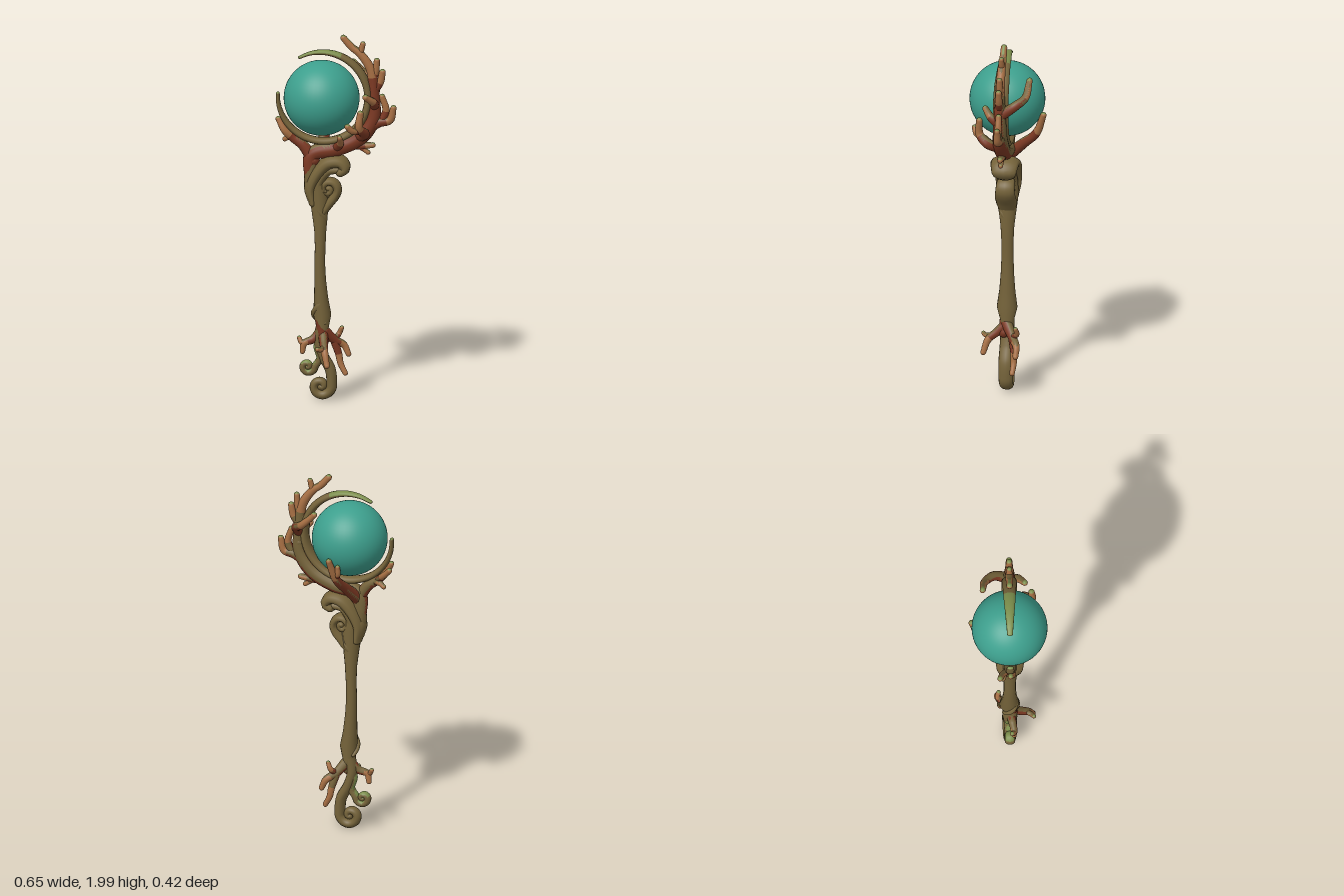
import * as THREE from 'three';

const paint = (name, color) => {
  const m = new THREE.MeshStandardMaterial({ color });
  m.name = name;
  return m;
};
const BARK = 0, CORAL = 1, TAN = 2, MOSS = 3;
const MID = 0.008; // depth of the wand's middle plane

export function createModel() {
  const model = new THREE.Group();
  model.name = 'branchWand';
  const palette = [paint('olive bark', 0x75633a), paint('red coral', 0x7d3923), paint('tan tips', 0xa87044), paint('mossy green', 0x7b8d4b)];
  const teal = paint('teal orb', 0x3d9f8d);

  // Sort faces into colour groups; pick(u, normal) gives a palette index
  function colourFaces(geo, uAt, pick) {
    const idx = geo.index.array, nor = geo.attributes.normal;
    const buckets = palette.map(() => []), n = new THREE.Vector3(), m = new THREE.Vector3();
    for (let i = 0; i < idx.length; i += 3) {
      const tri = [idx[i], idx[i + 1], idx[i + 2]];
      n.set(0, 0, 0);
      tri.forEach(k => n.add(m.fromBufferAttribute(nor, k)));
      buckets[pick(uAt(Math.min(...tri)), n.normalize())].push(...tri);
    }
    geo.setIndex(buckets.flat());
    let start = 0;
    buckets.forEach((b, k) => {
      if (b.length) geo.addGroup(start, b.length, k);
      start += b.length;
    });
  }

  // Tapered round-ended limb; flat stretches its depth
  function limb(name, pts, radii, { pick = () => BARK, flat = 1, seg = 0, sides = 12 } = {}) {
    const curve = new THREE.CatmullRomCurve3(pts.map(p => new THREE.Vector3(p[0], p[1], p[2] ?? MID)));
    const n = seg || pts.length * 6;
    const radiusAt = u => {
      const f = u * (radii.length - 1), i = Math.min(Math.floor(f), radii.length - 2);
      return THREE.MathUtils.lerp(radii[i], radii[i + 1], f - i);
    };
    const geo = new THREE.TubeGeometry(curve, n, 1, sides);
    const pos = geo.attributes.position, nor = geo.attributes.normal, v = new THREE.Vector3();
    const uAt = i => Math.floor(i / (sides + 1)) / n;
    for (let i = 0; i < pos.count; i++) {
      const u = uAt(i), c = curve.getPointAt(u), r = radiusAt(u);
      v.fromBufferAttribute(pos, i).sub(c).multiplyScalar(r);
      pos.setXYZ(i, c.x + v.x, c.y + v.y, c.z + v.z * flat);
      v.fromBufferAttribute(nor, i);
      v.z /= flat;
      v.normalize();
      nor.setXYZ(i, v.x, v.y, v.z);
    }
    colourFaces(geo, uAt, pick);
    const group = new THREE.Group();
    group.name = name;
    const body = new THREE.Mesh(geo, palette);
    body.name = name + 'Body';
    group.add(body);
    for (const u of [0, 1]) {
      const ball = new THREE.SphereGeometry(radiusAt(u), 12, 8);
      colourFaces(ball, () => u, pick);
      const cap = new THREE.Mesh(ball, palette);
      cap.position.copy(curve.getPointAt(u));
      cap.scale.z = flat;
      cap.name = name + 'End';
      group.add(cap);
    }
    model.add(group);
  }

  // Points of a flat spiral, angles in degrees
  const spiral = (cx, cy, r0, r1, a0, a1, count = 14) =>
    Array.from({ length: count }, (_, i) => {
      const t = i / (count - 1), a = THREE.MathUtils.degToRad(a0 + (a1 - a0) * t), r = r0 + (r1 - r0) * t;
      return [cx + r * Math.cos(a), cy + r * Math.sin(a), MID];
    });

  // Orb
  const orb = new THREE.Mesh(new THREE.SphereGeometry(0.2, 48, 32), teal);
  orb.name = 'orb';
  orb.position.set(-0.076, 1.65, 0.007);
  model.add(orb);

  // Crescent cradle around the orb, mossy on the outside of its tips
  limb('crescent', spiral(-0.07, 1.655, 0.238, 0.245, 177, 480, 24), [0.01, 0.016, 0.019, 0.021, 0.022, 0.021, 0.016, 0.008],
    { pick: (u, n) => ((u > 0.82 && n.y > 0.1) || (u < 0.04 && n.y > 0.3) ? MOSS : BARK), flat: 1.9, seg: 90 });

  // Handle and its neck
  limb('handle', [[-0.07, 0.38], [-0.072, 0.46], [-0.078, 0.55], [-0.085, 0.72], [-0.083, 0.9], [-0.085, 1.02], [-0.09, 1.12], [-0.1, 1.2]],
    [0.028, 0.048, 0.037, 0.031, 0.028, 0.028, 0.032, 0.042, 0.052, 0.045], { flat: 1.15, seg: 60, sides: 16 });
  limb('neck', [[-0.115, 1.12], [-0.13, 1.2], [-0.128, 1.28], [-0.12, 1.36]], [0.045, 0.04, 0.033, 0.025]);

  // Strands wrapped around both ends of the handle
  const wrap = (name, y0, y1, r0, r1, a0, r) => limb(name,
    Array.from({ length: 12 }, (_, i) => {
      const t = i / 11, a = a0 + t * Math.PI * 1.3, d = r0 + (r1 - r0) * t;
      return [-0.08 + d * Math.cos(a), y0 + (y1 - y0) * t, MID + d * Math.sin(a)];
    }), [0.006, r, r, 0.008]);
  for (const a of [0, Math.PI]) {
    wrap('upperWrap', 0.96, 1.15, 0.022, 0.045, a, 0.02);
    wrap('lowerWrap', 0.6, 0.43, 0.02, 0.042, a, 0.017);
  }

  // Scrolls of the head
  limb('lowerScroll', [[-0.085, 1.0], [-0.04, 1.07], ...spiral(-0.038, 1.158, 0.05, 0.004, -40, 440, 18)],
    [0.016, 0.024, 0.026, 0.023, 0.021, 0.02, 0.02], { flat: 2.2, seg: 90 });
  limb('upperScroll', [[-0.12, 1.08], [-0.13, 1.16], [-0.09, 1.25], [-0.035, 1.303], [0.025, 1.305], [0.05, 1.272], [0.025, 1.25]],
    [0.024, 0.03, 0.033, 0.035, 0.036, 0.032, 0.026], { flat: 2.25 });
  limb('innerScroll', [[-0.1, 1.12], [-0.085, 1.2], [-0.04, 1.255], [0.01, 1.262]], [0.03, 0.03, 0.027, 0.022], { flat: 1.8 });
  limb('sideLobe', [[-0.085, 1.04], [-0.125, 1.11], [-0.138, 1.17], [-0.115, 1.22]], [0.015, 0.03, 0.031, 0.024], { flat: 1.8 });

  // Tail scrolls at the foot; moss grows on the small one
  limb('tailScroll', [[-0.075, 0.42], [-0.09, 0.33], [-0.07, 0.25], [-0.03, 0.17], ...spiral(-0.08, 0.08, 0.06, 0.005, 15, -430, 18)],
    [0.028, 0.027, 0.028, 0.029, 0.028, 0.026, 0.022, 0.02], { flat: 1.4, seg: 100 });
  limb('smallScroll', [[-0.085, 0.37], [-0.1, 0.29], [-0.085, 0.23], ...spiral(-0.15, 0.185, 0.04, 0.004, 0, -430, 16)],
    [0.018, 0.018, 0.019, 0.02, 0.018, 0.016],
    { pick: (u, n) => ((u > 0.4 && n.y > 0.45) || (u < 0.4 && n.x < -0.5) ? MOSS : BARK), flat: 1.5, seg: 80 });

  // Coral: red wood to tan tips, weathered to bark on top and behind, moss on the tips
  const coral = split => (u, n) => {
    if (n.y > 0.6) return u > 0.95 ? MOSS : BARK;
    if (u > split) return TAN;
    return n.z < -0.6 && n.y > -0.3 ? BARK : CORAL;
  };
  const branch = (name, pts, r0, r1, split = 0.55) =>
    limb(name, pts, [r0, (r0 + r1) / 2, r1], { pick: coral(split), sides: 12 });

  limb('mainBranch', [[-0.14, 1.2], [-0.125, 1.34], [0.01, 1.38], [0.125, 1.44], [0.195, 1.54], [0.2, 1.68], [0.185, 1.81], [0.125, 1.9], [0.085, 1.93], [0.04, 1.98]],
    [0.026, 0.038, 0.044, 0.044, 0.043, 0.036, 0.03, 0.025, 0.021, 0.017], { pick: coral(0.73), seg: 70, sides: 16 });
  branch('topTwig', [[0.125, 1.895], [0.135, 1.92], [0.143, 1.95]], 0.018, 0.014, 0.1);
  branch('upperTwig', [[0.185, 1.74], [0.21, 1.8], [0.217, 1.86]], 0.023, 0.016, 0.4);
  branch('upperSideTwig', [[0.205, 1.7], [0.235, 1.745], [0.247, 1.8]], 0.023, 0.017, 0.4);
  branch('rightBranch', [[0.16, 1.49], [0.225, 1.525], [0.285, 1.54], [0.305, 1.605]], 0.036, 0.016);
  branch('rightFork', [[0.24, 1.53], [0.265, 1.59], [0.245, 1.665]], 0.022, 0.016, 0.4);
  branch('lowTwig', [[0.06, 1.4], [0.13, 1.395], [0.195, 1.4]], 0.028, 0.015, 0.7);
  branch('lowTwigFork', [[0.12, 1.395], [0.15, 1.375], [0.17, 1.36]], 0.016, 0.013, 0.5);

  // Branches reaching forward and back round the orb
  branch('frontBranch', [[0.13, 1.45, 0.02], [0.16, 1.48, 0.08], [0.135, 1.52, 0.125], [0.142, 1.6, 0.125]], 0.032, 0.017);
  branch('frontFork', [[0.145, 1.5, 0.1], [0.1, 1.51, 0.145], [0.077, 1.535, 0.158]], 0.02, 0.016, 0.4);
  branch('frontLowTwig', [[0.0, 1.38, 0.02], [0.03, 1.42, 0.07], [0.03, 1.46, 0.11]], 0.026, 0.014);
  branch('frontUpperTwig', [[0.2, 1.6, 0], [0.205, 1.64, 0.05], [0.165, 1.68, 0.09]], 0.028, 0.016);
  branch('backUpperBranch', [[0.2, 1.66, 0], [0.195, 1.71, -0.07], [0.15, 1.745, -0.12], [0.077, 1.815, -0.133]], 0.03, 0.016);
  branch('backBranch', [[-0.12, 1.32, 0], [-0.08, 1.4, -0.08], [-0.05, 1.47, -0.15], [-0.022, 1.585, -0.193]], 0.034, 0.016, 0.65);
  branch('backFork', [[-0.045, 1.48, -0.15], [-0.065, 1.51, -0.17], [-0.065, 1.55, -0.175]], 0.018, 0.013, 0.4);

  // Left branch with its forks
  branch('leftBranch', [[-0.12, 1.31], [-0.175, 1.39], [-0.23, 1.43], [-0.27, 1.47, 0.02], [-0.305, 1.53, 0.01]], 0.035, 0.015, 0.6);
  branch('leftTwig', [[-0.21, 1.42], [-0.25, 1.425, -0.02], [-0.275, 1.41, -0.03]], 0.02, 0.013, 0.4);
  branch('leftBackTwig', [[-0.23, 1.43], [-0.27, 1.47, -0.03], [-0.31, 1.51, -0.045]], 0.02, 0.015, 0.4);

  // Root-like coral at the foot
  branch('rootCore', [[-0.09, 0.45, 0.03], [-0.08, 0.4, 0.025], [-0.065, 0.33, 0.025]], 0.018, 0.03, 1);
  branch('leftRoot', [[-0.08, 0.38], [-0.12, 0.335, 0.02], [-0.165, 0.315, 0.03], [-0.175, 0.27, 0.03]], 0.027, 0.014);
  branch('leftRootFork', [[-0.15, 0.325, 0.03], [-0.18, 0.32, 0.03], [-0.193, 0.34, 0.02]], 0.016, 0.012, 0.3);
  branch('rightRoot', [[-0.06, 0.38], [-0.01, 0.32, -0.03], [0.035, 0.29, -0.055], [0.06, 0.24, -0.055]], 0.029, 0.015);
  branch('rightRootTwig', [[-0.01, 0.325, -0.03], [0.01, 0.35, -0.055], [0.025, 0.383, -0.05]], 0.017, 0.012, 0.4);
  branch('rightLowRoot', [[-0.01, 0.31, -0.03], [0.01, 0.24, -0.04], [0.02, 0.19, -0.04], [0.045, 0.14, -0.035]], 0.022, 0.014, 0.35);
  branch('frontRoot', [[-0.07, 0.38, 0.01], [-0.06, 0.33, 0.06], [-0.05, 0.29, 0.105], [-0.035, 0.22, 0.13]], 0.027, 0.015);
  branch('frontRootFork', [[-0.055, 0.31, 0.085], [-0.07, 0.305, 0.12], [-0.085, 0.31, 0.135]], 0.016, 0.012, 0.4);

  return model;
}
